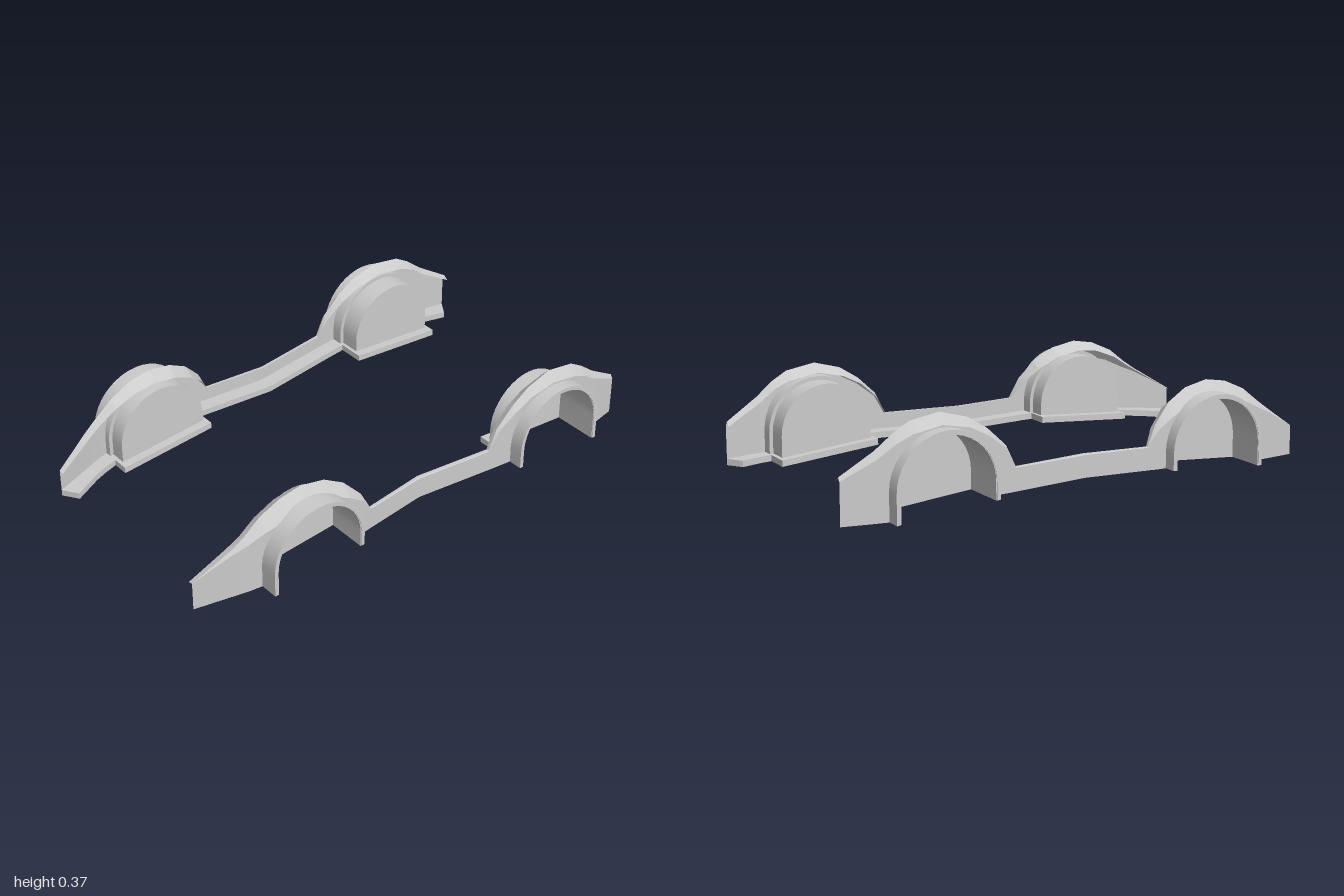
import * as THREE from 'three';
import { toCreasedNormals } from 'three/addons/utils/BufferGeometryUtils.js';

const material = new THREE.MeshStandardMaterial({ color: 0xcccccc, side: THREE.DoubleSide });

// Panel stations, front to back: z, ridge y, outer x, ridge x, inner edge x, inner edge y
const STATIONS = [
  [1.0, 0.12, 0.425, 0.425, 0.405, 0.115],
  [0.85, 0.215, 0.47, 0.46, 0.43, 0.205],
  [0.8, 0.25, 0.485, 0.465, 0.435, 0.235],
  [0.73, 0.305, 0.5, 0.465, 0.43, 0.28],
  [0.64, 0.345, 0.515, 0.468, 0.427, 0.315],
  [0.55, 0.36, 0.518, 0.47, 0.425, 0.325],
  [0.45, 0.34, 0.52, 0.475, 0.43, 0.305],
  [0.37, 0.295, 0.52, 0.485, 0.44, 0.265],
  [0.3, 0.22, 0.517, 0.5, 0.47, 0.2],
  [0.26, 0.14, 0.512, 0.51, 0.5, 0.14],
  [0, 0.14, 0.485, 0.482, 0.47, 0.14],
  [-0.315, 0.14, 0.525, 0.523, 0.51, 0.14],
  [-0.355, 0.225, 0.53, 0.52, 0.5, 0.21],
  [-0.43, 0.295, 0.538, 0.52, 0.49, 0.275],
  [-0.51, 0.345, 0.542, 0.518, 0.485, 0.315],
  [-0.62, 0.375, 0.545, 0.515, 0.482, 0.34],
  [-0.74, 0.355, 0.545, 0.515, 0.482, 0.32],
  [-0.8, 0.32, 0.54, 0.515, 0.482, 0.295],
  [-0.87, 0.265, 0.53, 0.51, 0.48, 0.245],
  [-1, 0.185, 0.505, 0.495, 0.475, 0.17],
];
// Bottom edge of the whole side: z, y
const BOTTOM = [[1, 0.003], [0.338, 0.05], [-0.418, 0.05], [-0.828, 0.012], [-1, 0.012]];

const R = 0.205;
const WELLS = [
  { name: 'front', z: 0.543, y: 0.115, x0: 0.47, x1: 0.57 },
  { name: 'rear', z: -0.623, y: 0.12, x0: 0.49, x1: 0.593 },
];

// Linear interpolation in a table sorted by falling z
function sample(table, z) {
  let i = 0;
  while (i < table.length - 2 && z < table[i + 1][0]) i++;
  const a = table[i], b = table[i + 1];
  const t = (a[0] - z) / (a[0] - b[0]);
  return a.map((v, k) => v + (b[k] - v) * t);
}
const bottomY = (z) => sample(BOTTOM, z)[1];

// Skin a list of equal-length sections
function skin(rows) {
  const n = rows[0].length, index = [];
  for (let i = 0; i < rows.length - 1; i++) {
    for (let j = 0; j < n - 1; j++) {
      const a = i * n + j, b = a + n;
      index.push(a, b, a + 1, b, b + 1, a + 1);
    }
  }
  const g = new THREE.BufferGeometry();
  g.setAttribute('position', new THREE.Float32BufferAttribute(rows.flat(2), 3));
  g.setIndex(index);
  return toCreasedNormals(g, 0.5);
}

function add(group, name, geometry) {
  const mesh = new THREE.Mesh(geometry, material);
  mesh.name = name;
  group.add(mesh);
}

// Values of z from one end to the other, including the stations between
function span(z0, z1, extra = []) {
  const inner = [...STATIONS.map((s) => s[0]), ...extra];
  return [z0, ...inner.filter((z) => z < z0 - 0.002 && z > z1 + 0.002).sort((a, b) => b - a), z1];
}

// Flared panel section, from its lower edge over the ridge to the inner edge
function panelSection(z, low) {
  const [, yr, xo, xr, xi, yi] = sample(STATIONS, z);
  const drop = (xo - xr) * 1.4;
  const mid = Math.max(yr - drop, low);
  const xm = drop > 0 ? xo + (xr - xo) * (mid - yr + drop) / drop : xo;
  return [[mid > low ? xo : xm, low, z], [xm, mid, z], [xr, yr, z], [xi, yi, z]];
}

// Box-section rail along the bottom edge, closed at both ends
function rail(zs, inner, outer) {
  const rows = zs.map((z) => {
    const y = bottomY(z), a = inner(z), b = outer(z), t = 0.025;
    const zi = THREE.MathUtils.clamp(z, -0.96, 0.96);
    return [[b, y, z], [b, y + t, z], [a, y + t, zi], [a, y, zi], [b, y, z]];
  });
  const cap = (row) => row.map(() => [0, 1, 2].map((k) => (row[0][k] + row[2][k]) / 2));
  return skin([cap(rows[0]), ...rows, cap(rows[rows.length - 1])]);
}

// Arch outline points, from the front foot over the top to the rear foot
function archPoints(well, r) {
  const pts = [new THREE.Vector2(-well.z - r, bottomY(well.z + r))];
  for (let i = 0; i <= 20; i++) {
    const a = Math.PI * (1 - i / 20);
    pts.push(new THREE.Vector2(-well.z + r * Math.cos(a), well.y + r * Math.sin(a)));
  }
  pts.push(new THREE.Vector2(-well.z + r, bottomY(well.z - r)));
  return pts;
}

function extrudeX(points, x0, x1) {
  const g = new THREE.ExtrudeGeometry(new THREE.Shape(points), { depth: x1 - x0, bevelEnabled: false });
  g.rotateY(Math.PI / 2).translate(x0, 0, 0);
  return toCreasedNormals(g, 0.5);
}

function archBand(well, rOut, rIn, x0, x1) {
  return extrudeX([...archPoints(well, rOut), ...archPoints(well, rIn).reverse()], x0, x1);
}

function buildSide(name) {
  const side = new THREE.Group();
  side.name = name;
  const outerX = (z) => sample(STATIONS, z)[2];
  const lipX = (z) => outerX(z) - 0.06;
  const [f, r] = WELLS;

  // Solid panel runs and their bottom lips
  const runs = [
    ['frontEnd', 1, f.z + R],
    ['sill', f.z - R, r.z + R],
    ['rearEnd', r.z - R, -1],
  ];
  for (const [run, z0, z1] of runs) {
    const zs = span(z0, z1);
    add(side, run + 'Panel', skin(zs.map((z) => panelSection(z, bottomY(z)))));
    add(side, run + 'Lip', rail(zs, lipX, outerX));
  }

  for (const w of WELLS) {
    // Flared panel above the wheel opening
    const extra = Array.from({ length: 19 }, (_, i) => w.z + R * Math.cos(Math.PI * (i + 1) / 20));
    const rows = span(w.z + R, w.z - R, extra).map((z) =>
      panelSection(z, w.y + Math.sqrt(Math.max(0, R * R - (z - w.z) ** 2))));
    add(side, w.name + 'Fender', skin(rows));

    // Outer arch trim, wheel housing and its closed inner wall
    add(side, w.name + 'ArchTrim', archBand(w, R, 0.19, w.x0, w.x1));
    add(side, w.name + 'Housing', archBand(w, 0.19, 0.187, 0.405, w.x1 - 0.002));
    add(side, w.name + 'InnerWall', extrudeX(archPoints(w, 0.19), 0.405, 0.41));

    // Foot flange along the wall and around both ends
    const flange = (z0, z1, x) => rail([z0, z1], () => 0.37, () => x);
    add(side, w.name + 'Flange', flange(w.z + R, w.z - R, 0.41));
    add(side, w.name + 'FlangeFrontTab', flange(w.z + R, w.z + 0.187, w.x0 + 0.01));
    add(side, w.name + 'FlangeRearTab', flange(w.z - 0.187, w.z - R, w.x0 + 0.01));
  }
  return side;
}

export function createModel() {
  const model = new THREE.Group();
  model.name = 'wheelArchAndSillSet';
  const left = buildSide('leftSide');
  const right = buildSide('rightSide');
  right.scale.x = -1;
  model.add(left, right);
  return model;
}
